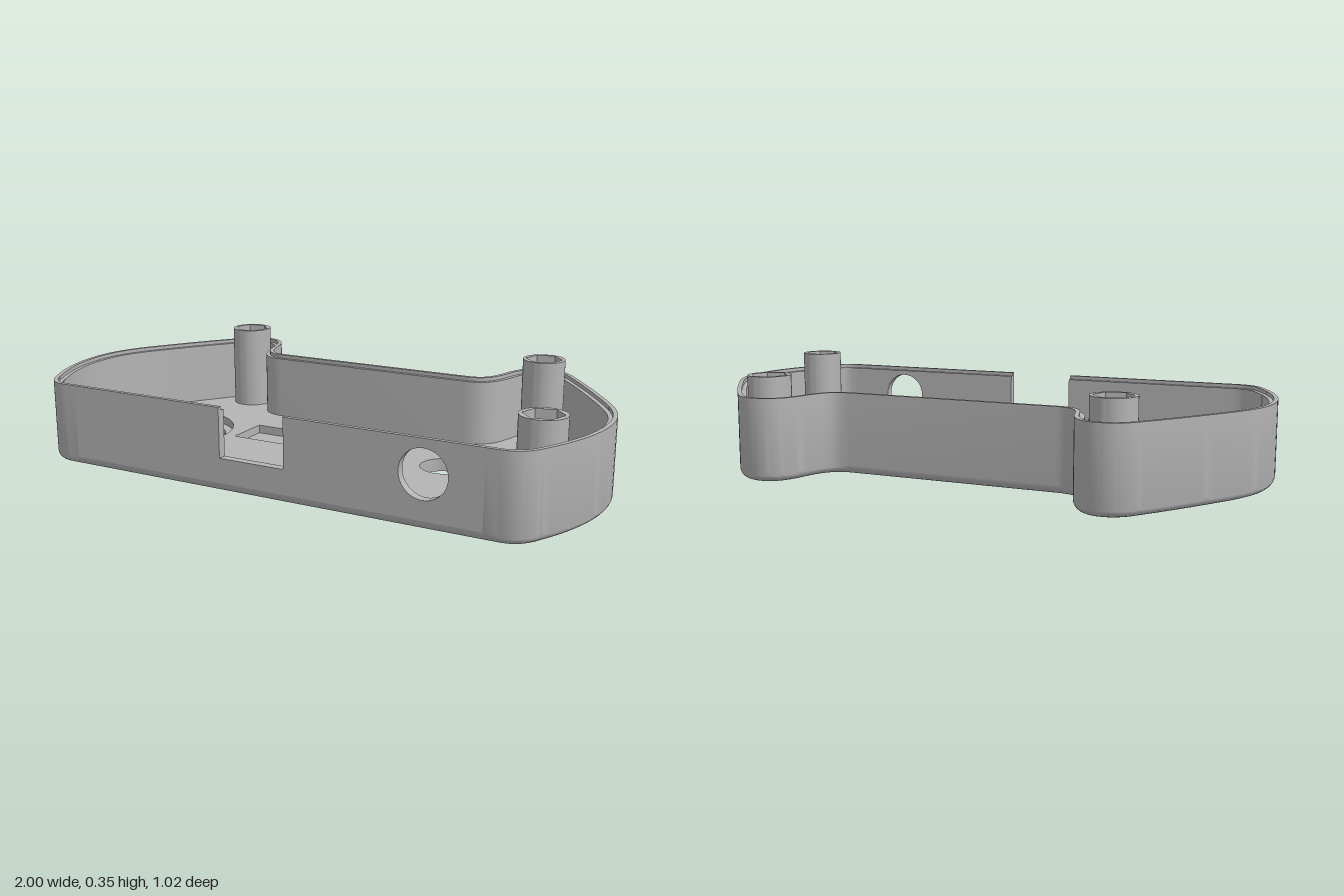
import * as THREE from 'three';
import { toCreasedNormals } from 'three/addons/utils/BufferGeometryUtils.js';

const TOP = 0.285, LEDGE = 0.272, WALL = 0.03, LIP = 0.015;
const FLOOR = 0.045, POCKET = 0.015, FRONT = 0.51, PANEL = 0.75;

// Right half of the outline in (x, z), from the front edge round to the back edge
function outlinePoints() {
  const half = new THREE.Path();
  half.moveTo(PANEL, FRONT);
  half.lineTo(0.79, FRONT);
  half.bezierCurveTo(0.85, 0.51, 0.88, 0.48, 0.905, 0.43);
  half.bezierCurveTo(0.96, 0.33, 1, 0.22, 1, 0.1);
  half.bezierCurveTo(1, -0.04, 0.94, -0.12, 0.86, -0.24);
  half.bezierCurveTo(0.80, -0.33, 0.76, -0.38, 0.715, -0.44);
  half.bezierCurveTo(0.68, -0.49, 0.64, -0.51, 0.60, -0.51);
  half.bezierCurveTo(0.54, -0.51, 0.505, -0.47, 0.485, -0.40);
  half.bezierCurveTo(0.465, -0.32, 0.45, -0.27, 0.38, -0.27);
  const right = half.getPoints(14);
  const left = right.map((p) => new THREE.Vector2(-p.x, p.y)).reverse();
  const pts = [...right, ...left];
  // Inward normal at every point of the closed outline
  return pts.map((p, i) => {
    const prev = pts[(i + pts.length - 1) % pts.length];
    const next = pts[(i + 1) % pts.length];
    const t = p.clone().sub(prev).normalize().add(next.clone().sub(p).normalize()).normalize();
    return { p, n: new THREE.Vector2(t.y, -t.x) };
  });
}

const inset = ({ p, n }, d) => new THREE.Vector2(p.x + n.x * d, p.y + n.y * d);

// Sweep a profile of [inset, height] pairs along the outline
function sweep(path, profile) {
  const pos = [], idx = [], m = path.length;
  for (const [d, y] of profile) {
    for (const o of path) {
      const q = inset(o, d);
      pos.push(q.x, y, q.y);
    }
  }
  for (let r = 0; r < profile.length - 1; r++) {
    for (let i = 0; i < m - 1; i++) {
      const a = r * m + i, b = a + 1, c = a + m, d = c + 1;
      idx.push(a, b, c, b, d, c);
    }
  }
  const g = new THREE.BufferGeometry();
  g.setAttribute('position', new THREE.Float32BufferAttribute(pos, 3));
  g.setIndex(idx);
  return toCreasedNormals(g, 0.6);
}

const circle = (Type, x, z, r) => new Type().absarc(x, -z, r, 0, Math.PI * 2, false);

function polygon(Type, points) {
  return new Type(points.map(([x, y]) => new THREE.Vector2(x, y)));
}

// Horizontal slab between two heights, from a shape drawn in (x, -z)
function slab(shape, y0, y1, holes = []) {
  shape.holes.push(...holes);
  const g = new THREE.ExtrudeGeometry(shape, { depth: y1 - y0, bevelEnabled: false, curveSegments: 32 });
  g.rotateX(-Math.PI / 2).translate(0, y0, 0);
  return toCreasedNormals(g, 0.6);
}

export function createModel() {
  const model = new THREE.Group();
  const grey = new THREE.MeshStandardMaterial({ color: 0xb4b4b4 });
  grey.name = 'plain grey';
  const add = (name, geometry, parent = model) => {
    const mesh = new THREE.Mesh(geometry, grey);
    mesh.name = name;
    parent.add(mesh);
    return mesh;
  };

  // Wall with rounded bottom edge and stepped rim, open along the front
  const path = outlinePoints();
  const fillet = [];
  for (let i = 0; i <= 6; i++) {
    const a = (i / 6) * Math.PI / 2;
    fillet.push([WALL * (1 - Math.sin(a)), WALL * (1 - Math.cos(a))]);
  }
  add('sideWall', sweep(path, [...fillet, [0, TOP], [LIP, TOP], [LIP, LEDGE], [WALL, LEDGE], [WALL, FLOOR]]));
  add('frontBottomEdge', sweep([path[path.length - 1], path[0]], fillet));

  // Front wall in two layers, with an open notch and a round port
  const frontPanel = (name, top, z) => {
    const shape = polygon(THREE.Shape, [
      [-PANEL, WALL], [PANEL, WALL], [PANEL, top], [0.085, top],
      [0.085, 0.115], [-0.155, 0.115], [-0.155, top], [-PANEL, top],
    ]);
    shape.holes.push(circle(THREE.Path, 0.56, -0.175, 0.08));
    const g = new THREE.ExtrudeGeometry(shape, { depth: LIP, bevelEnabled: false, curveSegments: 32 });
    add(name, toCreasedNormals(g.translate(0, 0, z), 0.6));
  };
  frontPanel('frontWallOuter', TOP, FRONT - LIP);
  frontPanel('frontWallInner', LEDGE, FRONT - WALL);

  // Floor: lower plate with through holes, upper plate with pocket and blind hole
  const floorShape = () => new THREE.Shape(path.map((o) => {
    const q = inset(o, WALL);
    return new THREE.Vector2(q.x, -q.y);
  }));
  const big = { x: -0.67, z: 0.1, r: 0.213, round: FLOOR - POCKET };
  const buttonHoles = () => [[0.605, -0.14], [0.605, 0.217], [0.43, 0.04], [0.795, 0.027]]
    .map(([x, z]) => circle(THREE.Path, x, z, 0.083));
  add('floorLower', slab(floorShape(), 0, POCKET, [
    ...buttonHoles(), circle(THREE.Path, big.x, big.z, big.r),
  ]));
  add('floorUpper', slab(floorShape(), POCKET, FLOOR, [
    ...buttonHoles(),
    circle(THREE.Path, big.x, big.z, big.r + big.round),
    circle(THREE.Path, 0.272, 0.31, 0.027),
    polygon(THREE.Path, [[-0.385, 0.085], [-0.06, 0.085], [-0.06, -0.08], [-0.385, -0.08]]),
  ]));

  // Rounded inner edge of the large hole
  const lip = [];
  for (let i = 0; i <= 6; i++) {
    const a = (i / 6) * Math.PI / 2;
    lip.push(new THREE.Vector2(big.r + big.round * (1 - Math.cos(a)), POCKET + big.round * Math.sin(a)));
  }
  const rounded = new THREE.LatheGeometry(lip.reverse(), 64);
  const roundedEdge = add('largeHoleRoundedEdge', rounded);
  roundedEdge.material = grey;
  // Lathe faces follow the profile direction, running inward and down here
  roundedEdge.position.set(big.x, 0, big.z);
  rounded.index.array.reverse();
  rounded.computeVertexNormals();

  // Screw posts: bored cylinder with a hexagonal nut socket on top
  const posts = [['backRightPost', -0.605, -0.387], ['backLeftPost', 0.62, -0.387], ['frontLeftPost', 0.852, 0.317]];
  for (const [name, x, z] of posts) {
    const post = new THREE.Group();
    post.name = name;
    post.position.set(x, 0, z);
    const hex = [];
    for (let i = 0; i < 6; i++) {
      const a = 0.2 + i * Math.PI / 3;
      hex.push([0.064 * Math.cos(a), 0.064 * Math.sin(a)]);
    }
    add('postShaft', slab(circle(THREE.Shape, 0, 0, 0.074), FLOOR, 0.285, [circle(THREE.Path, 0, 0, 0.028)]), post);
    add('nutSocket', slab(circle(THREE.Shape, 0, 0, 0.074), 0.285, 0.35, [polygon(THREE.Path, hex)]), post);
    model.add(post);
  }
  return model;
}
